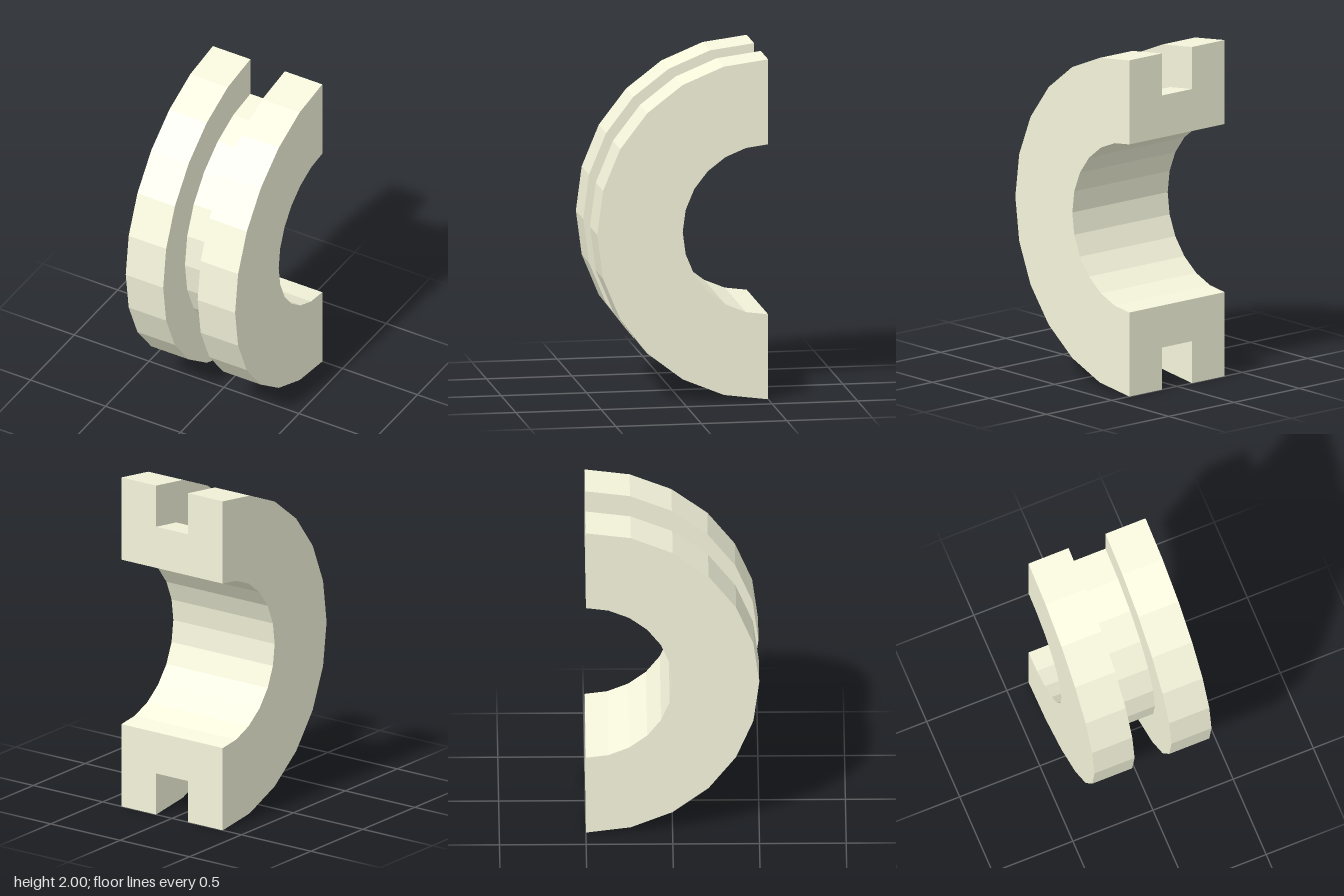
import * as THREE from 'three';

export function createModel() {
  const model = new THREE.Group();
  const material = new THREE.MeshStandardMaterial({ color: 0xf5f5dc, flatShading: true });

  // U-shaped section: x is the radius, y runs along the axis; counter-clockwise
  const inner = 0.5, groove = 0.75, outer = 1;
  const halfWidth = 0.365, halfGroove = 0.115;
  const section = [
    [inner, -halfWidth], [outer, -halfWidth], [outer, -halfGroove], [groove, -halfGroove],
    [groove, halfGroove], [outer, halfGroove], [outer, halfWidth], [inner, halfWidth],
  ].map(([r, a]) => new THREE.Vector2(r, a));

  const halfRing = new THREE.Group();
  halfRing.name = 'groovedHalfRing';

  const add = (name, geometry) => {
    const mesh = new THREE.Mesh(geometry, material);
    mesh.name = name;
    halfRing.add(mesh);
  };

  // Faceted half turn of the closed section
  add('ringBody', new THREE.LatheGeometry([...section, section[0].clone()], 12, -Math.PI / 2, Math.PI));

  // Flat cut faces, both facing back
  const cut = new THREE.ShapeGeometry(new THREE.Shape(section));
  add('upperCutFace', cut.clone().rotateX(Math.PI));
  add('lowerCutFace', cut.clone().rotateY(Math.PI));

  // Lay the axis along x and stand the ring on the ground
  halfRing.rotation.z = Math.PI / 2;
  halfRing.position.set(0, 1, -0.5);
  model.add(halfRing);
  return model;
}
